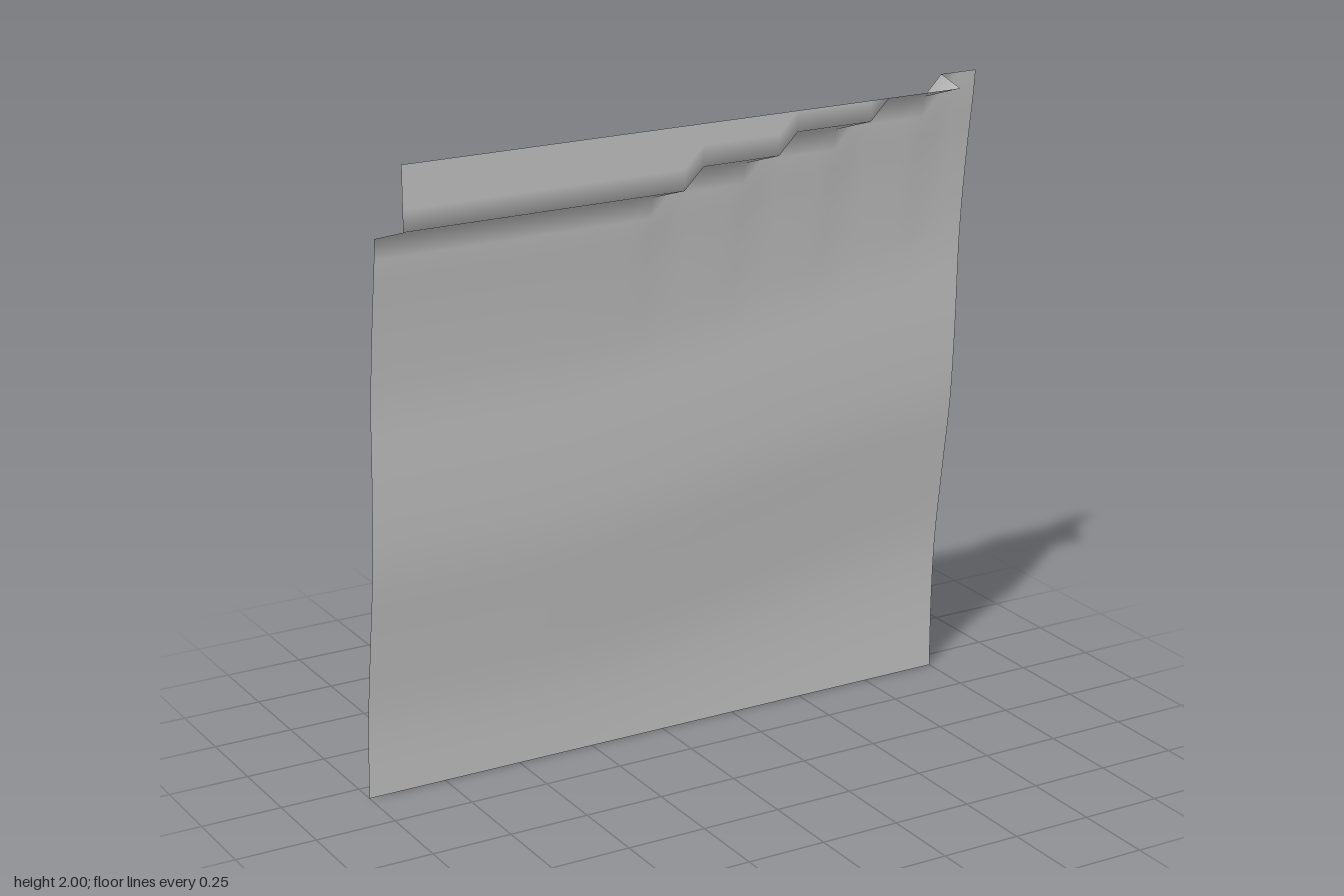
import * as THREE from 'three';

const N = 32, CELL = 2 / N;

// Depth of the sheet at even heights of 0.25, from the foot up to the ledge
const profile = new THREE.SplineCurve(
  [-0.175, -0.164, -0.132, -0.098, -0.083, -0.074, -0.046, -0.013]
    .map((z, i) => new THREE.Vector2(i * 0.25, z)));

// Number of grid rows the ledge has climbed at x
const climb = (x) => [-0.1, 0.22, 0.53, 0.84].filter((s) => x > s).length;

function depth(x, y) {
  const steps = climb(x);
  if (y > 1.78 + steps * CELL) return 0.175; // raised lip
  // The waves rise towards +x: gently below, in steps near the ledge
  const gentle = 0.19 * THREE.MathUtils.smoothstep(x, -0.5, 1.1);
  const shift = THREE.MathUtils.lerp(gentle, steps * CELL, THREE.MathUtils.smoothstep(y, 1.2, 1.75));
  return profile.getPoint(THREE.MathUtils.clamp((y - shift) / 1.75, 0, 1)).y;
}

export function createModel() {
  const group = new THREE.Group();
  group.name = 'steppedSheet';
  const grey = new THREE.MeshStandardMaterial({ color: 0xc0c0c0, side: THREE.DoubleSide });
  grey.name = 'grey';

  // One smooth relief sheet, pushed in and out by the depth rule
  const geometry = new THREE.PlaneGeometry(2, 2, N, N).translate(0, 1, 0);
  const p = geometry.attributes.position;
  for (let i = 0; i < p.count; i++) p.setZ(i, depth(p.getX(i), p.getY(i)));
  geometry.computeVertexNormals();

  const sheet = new THREE.Mesh(geometry, grey);
  sheet.name = 'reliefSheet';
  group.add(sheet);
  return group;
}
